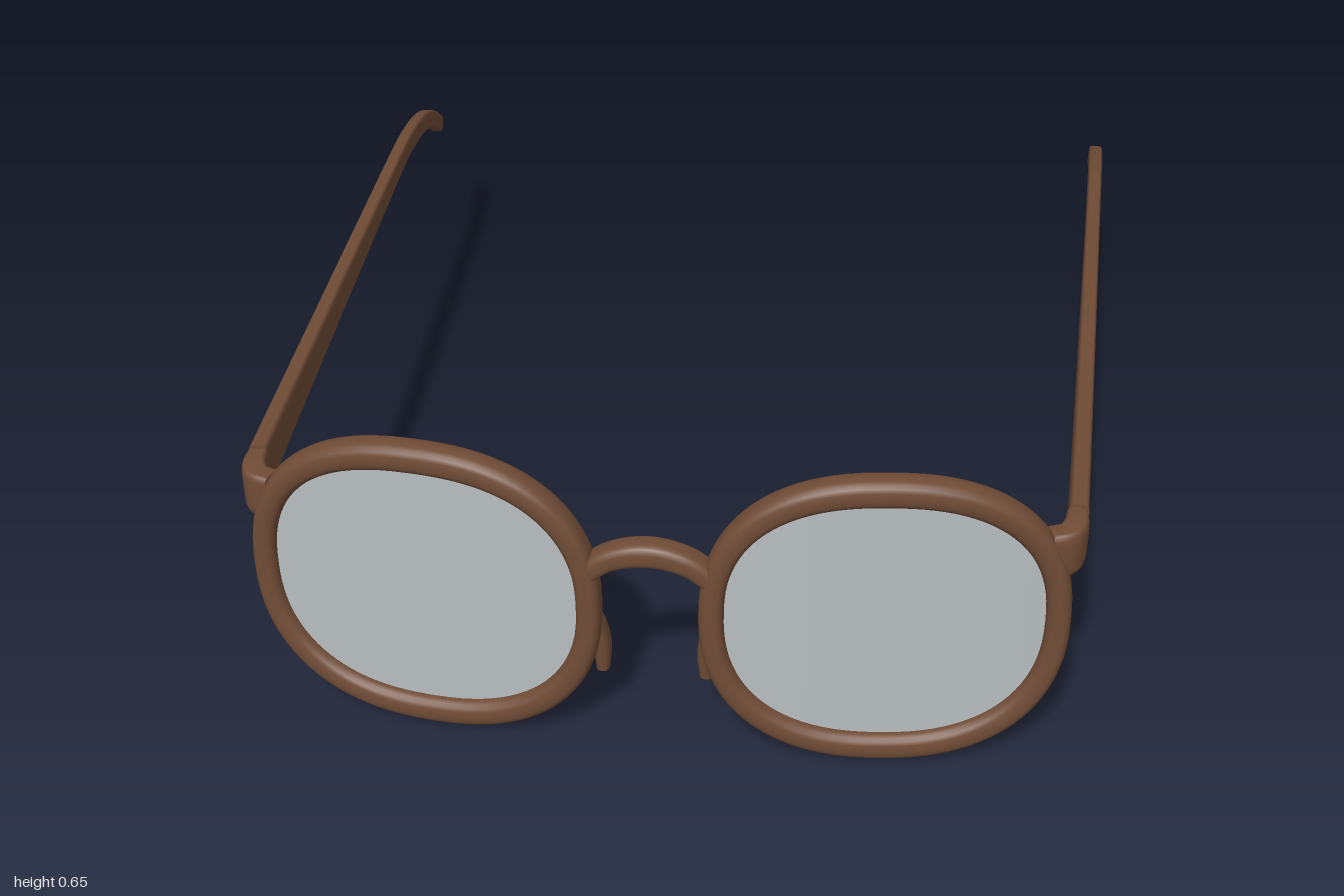
import * as THREE from 'three';

const V = (x, y, z) => new THREE.Vector3(x, y, z);
const sgnPow = (v, e) => Math.sign(v) * Math.pow(Math.abs(v), e);

// Gentle wrap of the front frame: depth of its middle surface at a given x
const wrapZ = (x) => 0.963 - 0.122 * x * x;

// Sweeps a rounded section along a path; at(t) gives point p and half sizes w, h
function sweep(at, up, { steps = 32, sides = 24, power = 5, closed = false } = {}) {
  const pos = [], idx = [];
  const rings = closed ? steps : steps + 1;
  const centres = [];
  for (let i = 0; i < rings; i++) {
    const t = i / steps, d = 1e-3;
    const { p, w, h } = at(t);
    const a = at(closed ? t - d : Math.max(0, t - d)).p;
    const b = at(closed ? t + d : Math.min(1, t + d)).p;
    const T = b.clone().sub(a).normalize();
    const U = up.clone().cross(T).normalize();
    const W = T.clone().cross(U);
    centres.push(p);
    for (let j = 0; j < sides; j++) {
      const q = (j / sides) * Math.PI * 2;
      const v = p.clone()
        .addScaledVector(U, w * sgnPow(Math.cos(q), 2 / power))
        .addScaledVector(W, h * sgnPow(Math.sin(q), 2 / power));
      pos.push(v.x, v.y, v.z);
    }
  }
  for (let i = 0; i < steps; i++) {
    const r0 = i * sides, r1 = ((i + 1) % rings) * sides;
    for (let j = 0; j < sides; j++) {
      const k = (j + 1) % sides;
      idx.push(r0 + j, r0 + k, r1 + j, r0 + k, r1 + k, r1 + j);
    }
  }
  // End caps with their own vertices, so their edges stay sharp
  if (!closed) {
    for (const end of [0, rings - 1]) {
      const base = pos.length / 3;
      pos.push(...pos.slice(end * sides * 3, (end + 1) * sides * 3));
      pos.push(centres[end].x, centres[end].y, centres[end].z);
      for (let j = 0; j < sides; j++) {
        const k = (j + 1) % sides;
        if (end === 0) idx.push(base + sides, base + k, base + j);
        else idx.push(base + sides, base + j, base + k);
      }
    }
  }
  const g = new THREE.BufferGeometry();
  g.setAttribute('position', new THREE.Float32BufferAttribute(pos, 3));
  g.setIndex(idx);
  g.computeVertexNormals();
  return g;
}

// Path from knots [x, y, z, w, h], with x mirrored by side s
function knotPath(knots, s = 1) {
  const path = new THREE.CatmullRomCurve3(knots.map((k) => V(s * k[0], k[1], k[2])), false, 'catmullrom');
  const size = new THREE.CatmullRomCurve3(knots.map((k) => V(k[3], k[4], 0)), false, 'catmullrom');
  return (t) => {
    const z = size.getPoint(t);
    return { p: path.getPoint(t), w: z.x, h: z.y };
  };
}

// Rounded, slightly squared eye outline
const EYE_X = 0.434, EYE_Y = 0.326, ROUND = 2 / 2.35;
const eyeX = (q, a) => a * sgnPow(Math.cos(q), ROUND);
const eyeY = (q, b) => b * sgnPow(Math.sin(q), ROUND);

function rimGeometry(s) {
  return sweep((t) => {
    const q = t * Math.PI * 2;
    const x = EYE_X + eyeX(q, 0.319);
    return {
      p: V(s * x, EYE_Y + eyeY(q, 0.295), wrapZ(x)),
      w: 0.024 + 0.005 * Math.sin(q) ** 2,
      h: 0.03,
    };
  }, V(0, 0, 1), { steps: 97, sides: 20, power: 2.7, closed: true });
}

function lensGeometry(s) {
  const g = new THREE.RingGeometry(0.0001, 1, 80, 8);
  const p = g.attributes.position;
  for (let i = 0; i < p.count; i++) {
    const r = Math.hypot(p.getX(i), p.getY(i));
    const q = Math.atan2(p.getY(i), p.getX(i));
    const x = s * EYE_X + r * eyeX(q, 0.305);
    p.setXYZ(i, x, EYE_Y + r * eyeY(q, 0.278), wrapZ(x) + 0.006);
  }
  g.computeVertexNormals();
  return g;
}

export function createModel() {
  const frame = new THREE.MeshStandardMaterial({ color: 0x704c36 });
  frame.name = 'brown frame';
  const glass = new THREE.MeshStandardMaterial({ color: 0xb8bec1, side: THREE.DoubleSide });
  glass.name = 'grey lens';

  const model = new THREE.Group();
  model.name = 'glasses';
  const add = (name, geometry, material = frame) => {
    const m = new THREE.Mesh(geometry, material);
    m.name = name;
    model.add(m);
  };
  const up = V(0, 1, 0), front = V(0, 0, 1);

  // Arched bridge between the rims
  add('bridge', sweep(knotPath([
    [-0.125, 0.405, 0.962, 0.022, 0.027],
    [-0.07, 0.445, 0.962, 0.024, 0.027],
    [0, 0.46, 0.962, 0.026, 0.027],
    [0.07, 0.445, 0.962, 0.024, 0.027],
    [0.125, 0.405, 0.962, 0.022, 0.027],
  ]), front, { power: 3 }));

  for (const [side, s] of [['left', 1], ['right', -1]]) {
    add(side + 'Rim', rimGeometry(s));
    add(side + 'Lens', lensGeometry(s), glass);

    // Nose pad, hanging behind the inner edge of the rim
    add(side + 'NosePad', sweep(knotPath([
      [0.118, 0.3, 0.945, 0.008, 0.014],
      [0.106, 0.26, 0.927, 0.014, 0.02],
      [0.1, 0.2, 0.918, 0.017, 0.022],
      [0.1, 0.145, 0.916, 0.013, 0.018],
    ], s), front, { steps: 20, sides: 16, power: 2.6 }));

    // End piece, turning the corner from the rim to the hinge
    add(side + 'EndPiece', sweep(knotPath([
      [0.725, 0.478, 0.893, 0.024, 0.046],
      [0.757, 0.478, 0.882, 0.025, 0.049],
      [0.771, 0.48, 0.855, 0.024, 0.05],
      [0.774, 0.48, 0.823, 0.021, 0.05],
    ], s), up, { steps: 20 }));

    // Temple arm, tapering back to a drooping tip
    add(side + 'Temple', sweep(knotPath([
      [0.777, 0.48, 0.814, 0.019, 0.05],
      [0.793, 0.481, 0.5, 0.018, 0.043],
      [0.818, 0.482, 0, 0.017, 0.034],
      [0.842, 0.481, -0.48, 0.016, 0.026],
      [0.849, 0.475, -0.62, 0.016, 0.025],
      [0.857, 0.451, -0.77, 0.016, 0.024],
      [0.864, 0.408, -0.89, 0.016, 0.023],
      [0.87, 0.348, -0.989, 0.016, 0.022],
    ], s), up, { steps: 56 }));
  }
  return model;
}
